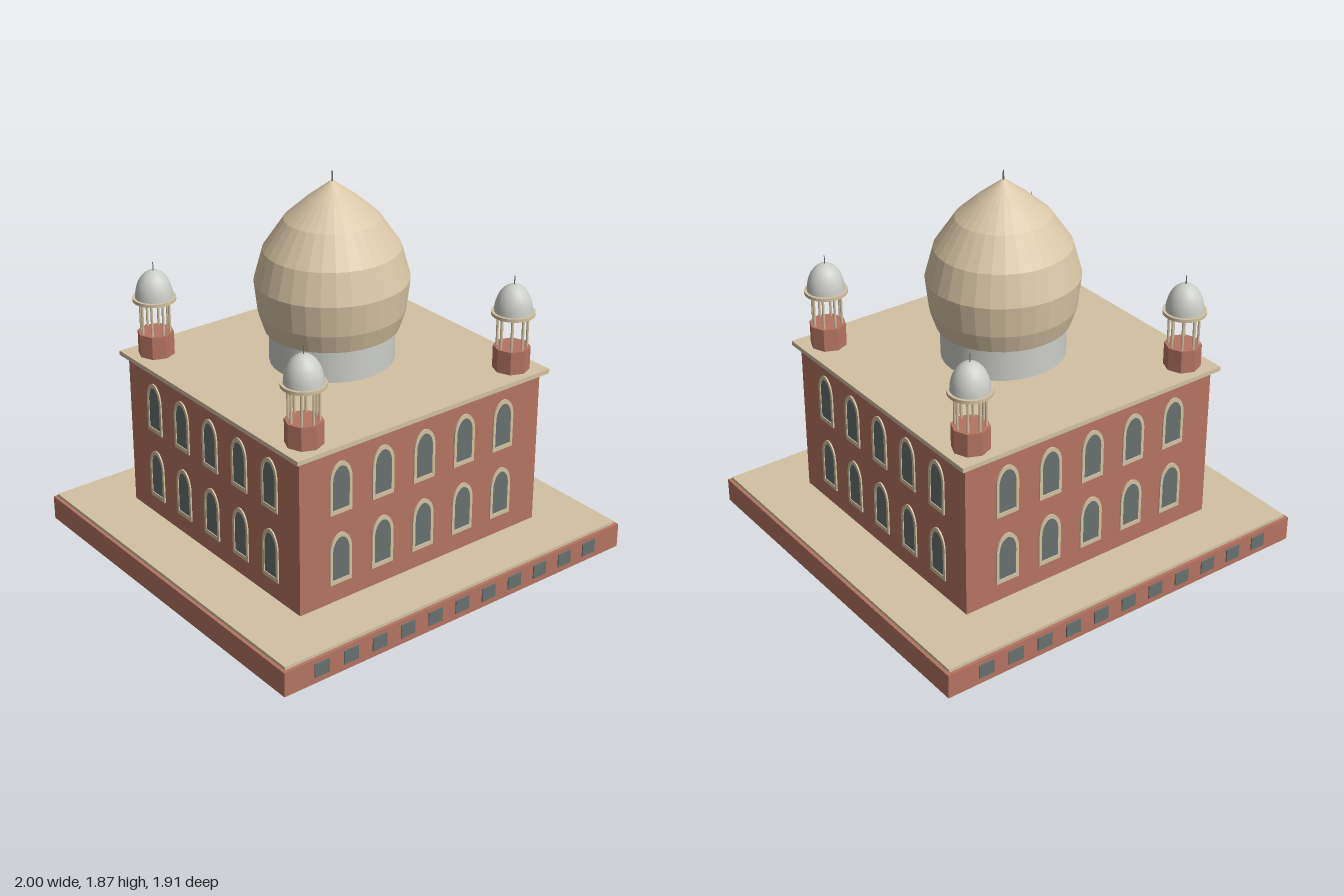
import * as THREE from 'three';

const DEPTH = 0.955; // plan is slightly shallower in z than in x

export function createModel() {
  const model = new THREE.Group();
  model.name = 'domedPavilion';

  const material = (name, color, opts = {}) => {
    const m = new THREE.MeshStandardMaterial({ color, ...opts });
    m.name = name;
    return m;
  };
  const brick = material('brick', 0xb57461);
  const stone = material('stone', 0xd3c2a2);
  const domeStone = material('domeStone', 0xd8c6a6, { flatShading: true });
  const marble = material('marble', 0xcccec9);
  const glass = material('glass', 0x66716f);
  const metal = material('metal', 0x6f6c66);

  const add = (parent, name, geometry, mat, x = 0, y = 0, z = 0) => {
    const mesh = new THREE.Mesh(geometry, mat);
    mesh.name = name;
    mesh.position.set(x, y, z);
    parent.add(mesh);
    return mesh;
  };
  // Box given by half sizes and its bottom and top heights
  const slab = (name, hx, hz, y0, y1, mat) =>
    add(model, name, new THREE.BoxGeometry(2 * hx, y1 - y0, 2 * hz), mat, 0, (y0 + y1) / 2, 0);

  // Plinth, terrace, main block and cornice
  slab('plinth', 1, 0.952, 0, 0.122, brick);
  slab('terrace', 0.984, 0.936, 0.122, 0.137, stone);
  slab('mainBlock', 0.7, 0.667, 0.137, 0.91, brick);
  slab('cornice', 0.731, 0.698, 0.91, 0.932, stone);

  // Small square openings along the front and back of the plinth
  const ventGeometry = new THREE.BoxGeometry(0.08, 0.068, 0.008);
  for (const side of [-1, 1]) {
    for (let i = -5; i <= 5; i++) {
      add(model, 'plinthWindow', ventGeometry, glass, i * 0.16, 0.066, side * 0.953);
    }
  }

  // Arched outline, centred on x, standing on y0
  const trace = (path, half, y0, spring, top) => {
    const rise = top - spring;
    path.moveTo(-half, y0);
    path.lineTo(half, y0);
    path.lineTo(half, spring);
    path.bezierCurveTo(half, spring + rise * 0.6, half * 0.5, top - rise * 0.02, 0, top);
    path.bezierCurveTo(-half * 0.5, top - rise * 0.02, -half, spring + rise * 0.6, -half, spring);
    path.lineTo(-half, y0);
    return path;
  };
  const frameShape = trace(new THREE.Shape(), 0.061, 0, 0.16, 0.256);
  frameShape.holes.push(trace(new THREE.Path(), 0.046, 0.021, 0.16, 0.235));
  const frameGeometry = new THREE.ExtrudeGeometry(frameShape, {
    depth: 0.007, bevelEnabled: false, curveSegments: 8,
  });
  const paneGeometry = new THREE.ShapeGeometry(
    trace(new THREE.Shape(), 0.046, 0.021, 0.16, 0.235), 8);

  // Two rows of five arched windows on every wall
  const walls = [
    { name: 'frontWindows', angle: 0, out: 0.667, scale: 1 },
    { name: 'leftWindows', angle: Math.PI / 2, out: 0.7, scale: DEPTH },
    { name: 'backWindows', angle: Math.PI, out: 0.667, scale: 1 },
    { name: 'rightWindows', angle: -Math.PI / 2, out: 0.7, scale: DEPTH },
  ];
  for (const wall of walls) {
    const group = new THREE.Group();
    group.name = wall.name;
    group.rotation.y = wall.angle;
    group.scale.x = wall.scale;
    for (const y of [0.23, 0.585]) {
      for (let i = -2; i <= 2; i++) {
        add(group, 'windowFrame', frameGeometry, stone, i * 0.238, y, wall.out);
        add(group, 'windowPane', paneGeometry, glass, i * 0.238, y, wall.out + 0.003);
      }
    }
    model.add(group);
  }

  // Drum and faceted onion dome
  const lathe = (points, segments) =>
    new THREE.LatheGeometry(points.map(([r, y]) => new THREE.Vector2(r, y)), segments);
  const drum = add(model, 'drum', new THREE.CylinderGeometry(0.299, 0.299, 0.16, 32), marble, 0, 1.032, 0);
  const dome = add(model, 'mainDome', lathe([
    [0, 1.112], [0.32, 1.112], [0.35, 1.203], [0.367, 1.353], [0.325, 1.503],
    [0.225, 1.647], [0.12, 1.738], [0.012, 1.818], [0, 1.82],
  ], 32), domeStone);
  drum.scale.z = dome.scale.z = DEPTH;
  add(model, 'mainFinial', new THREE.CylinderGeometry(0.003, 0.004, 0.05, 8), metal, 0, 1.841, 0);

  // Corner kiosks: octagonal base, eight columns, eave and cupola
  const baseGeometry = new THREE.CylinderGeometry(0.087, 0.087, 0.113, 8).toNonIndexed();
  baseGeometry.computeVertexNormals();
  const columnGeometry = new THREE.CylinderGeometry(0.006, 0.006, 0.16, 8);
  const eaveGeometry = new THREE.CylinderGeometry(0.102, 0.102, 0.016, 32);
  const cupolaProfile = [];
  for (let i = 0; i <= 10; i++) {
    const a = (i / 10) * Math.PI / 2;
    cupolaProfile.push([0.089 * Math.cos(a), 0.132 * Math.sin(a)]);
  }
  const cupolaGeometry = lathe(cupolaProfile, 24);
  const spikeGeometry = new THREE.CylinderGeometry(0.002, 0.003, 0.045, 6);

  for (const sx of [-1, 1]) {
    for (const sz of [-1, 1]) {
      const kiosk = new THREE.Group();
      kiosk.name = 'cornerKiosk';
      kiosk.position.set(sx * 0.602, 0.932, sz * 0.575);
      add(kiosk, 'kioskBase', baseGeometry, brick, 0, 0.0565, 0);
      for (let i = 0; i < 8; i++) {
        const a = (i / 8) * Math.PI * 2;
        add(kiosk, 'kioskColumn', columnGeometry, stone,
          0.069 * Math.cos(a), 0.193, 0.069 * Math.sin(a));
      }
      add(kiosk, 'kioskEave', eaveGeometry, stone, 0, 0.28, 0);
      add(kiosk, 'kioskCupola', cupolaGeometry, marble, 0, 0.288, 0);
      add(kiosk, 'kioskFinial', spikeGeometry, metal, 0, 0.438, 0);
      model.add(kiosk);
    }
  }
  return model;
}
